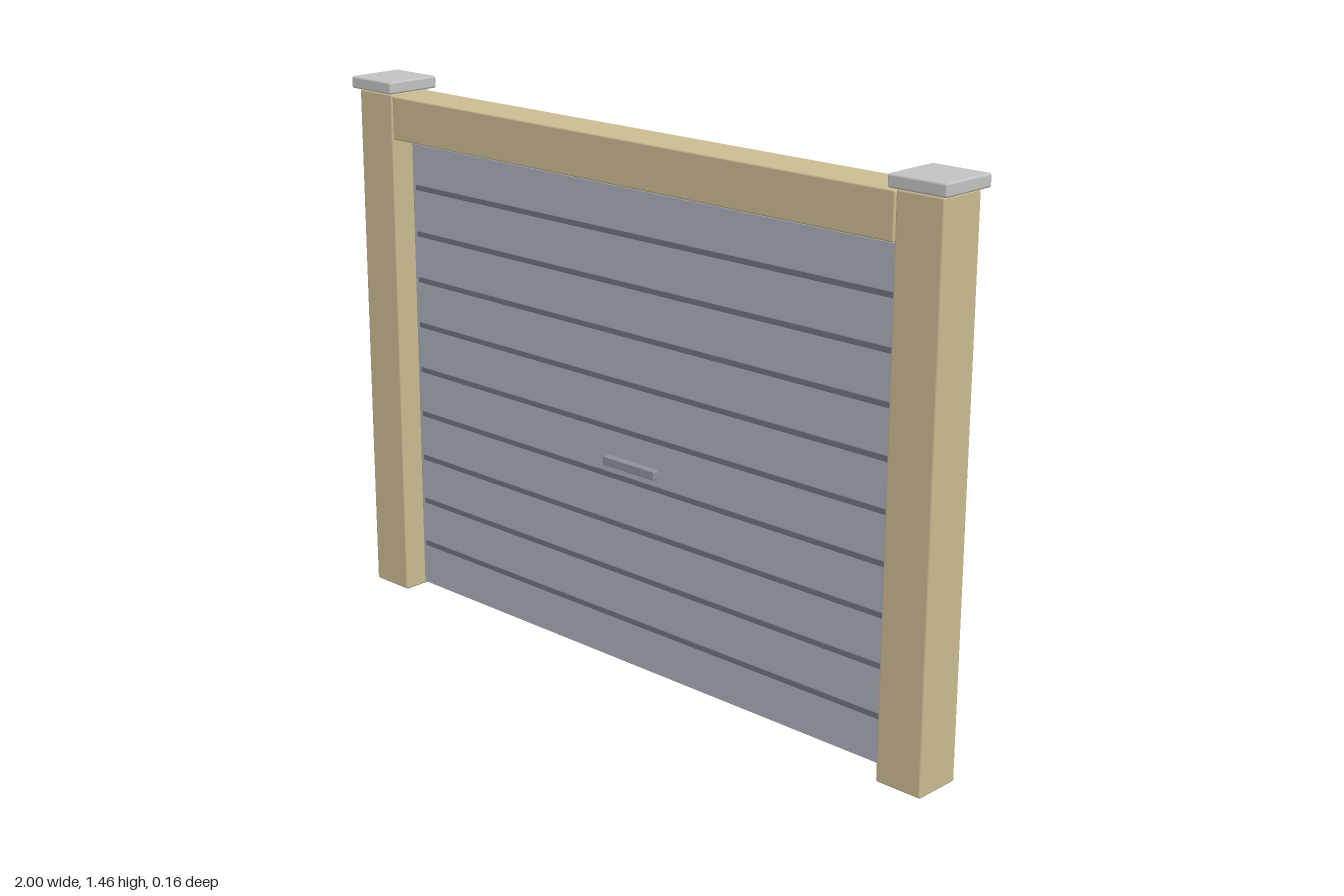
import * as THREE from 'three';
import { RoundedBoxGeometry } from 'three/addons/geometries/RoundedBoxGeometry.js';

const mat = (name, color) => {
  const m = new THREE.MeshStandardMaterial({ color });
  m.name = name;
  return m;
};

export function createModel() {
  const group = new THREE.Group();
  group.name = 'rollerDoor';
  const tan = mat('tan timber', 0xcabb91);
  const steel = mat('blue grey steel', 0xabafb8);
  const capGrey = mat('light grey', 0xc2c2c0);
  const dark = mat('dark grey', 0x70737d);
  const handleGrey = mat('handle grey', 0x8d909b);

  // Box centred on x, standing between y0 and y1; bevel 0 gives sharp edges
  const box = (name, material, x, y0, y1, z, w, d, bevel = 0) => {
    const h = y1 - y0;
    const geo = bevel ? new RoundedBoxGeometry(w, h, d, 2, bevel) : new THREE.BoxGeometry(w, h, d);
    const mesh = new THREE.Mesh(geo, material);
    mesh.name = name;
    mesh.position.set(x, (y0 + y1) / 2, z);
    group.add(mesh);
  };

  // Posts with caps, mirrored
  for (const [side, s] of [['left', 1], ['right', -1]]) {
    box(side + 'Post', tan, s * 0.918, 0, 1.422, 0, 0.132, 0.132, 0.006);
    box(side + 'Cap', capGrey, s * 0.919, 1.424, 1.457, 0, 0.162, 0.162, 0.006);
  }

  // Lintel between the posts
  box('lintel', tan, 0, 1.3, 1.418, 0, 1.7, 0.132, 0.005);

  // Door panel and its horizontal ribs
  box('doorPanel', steel, 0, 0.016, 1.284, 0, 1.672, 0.024);
  for (let i = 0; i < 9; i++) {
    const y = 0.139 + i * 0.1285;
    box('doorRib' + (i + 1), dark, 0, y - 0.007, y + 0.007, 0.012, 1.64, 0.009);
  }

  // Pull handle
  box('handle', handleGrey, 0, 0.553, 0.577, 0.021, 0.18, 0.022, 0.003);

  return group;
}
